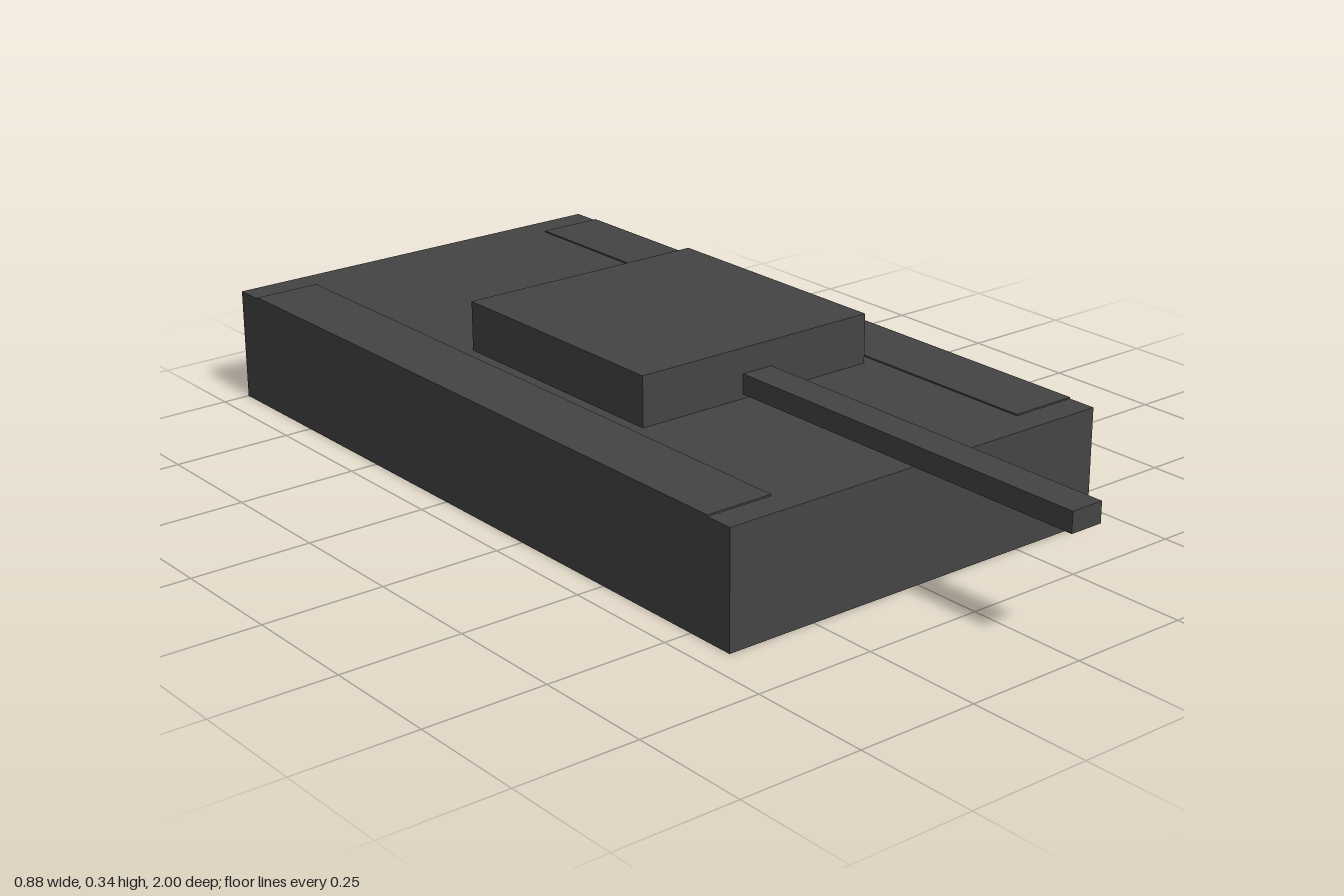
import * as THREE from 'three';

export function createModel() {
  const model = new THREE.Group();
  const material = new THREE.MeshStandardMaterial({ color: 0x444444 });

  // Box given by its extents along each axis
  function block(name, [x0, x1], [y0, y1], [z0, z1]) {
    const mesh = new THREE.Mesh(new THREE.BoxGeometry(x1 - x0, y1 - y0, z1 - z0), material);
    mesh.position.set((x0 + x1) / 2, (y0 + y1) / 2, (z0 + z1) / 2);
    mesh.name = name;
    model.add(mesh);
  }

  block('hull', [-0.442, 0.442], [0, 0.235], [-1, 0.605]);

  // Track covers, standing just proud of the deck
  block('leftTrackCover', [0.3, 0.442], [0.235, 0.238], [-0.935, 0.545]);
  block('rightTrackCover', [-0.442, -0.3], [0.235, 0.238], [-0.935, 0.545]);

  block('turret', [-0.274, 0.274], [0.235, 0.337], [-0.39, 0.155]);
  block('gunBarrel', [-0.035, 0.035], [0.244, 0.285], [0.15, 1]);

  return model;
}
